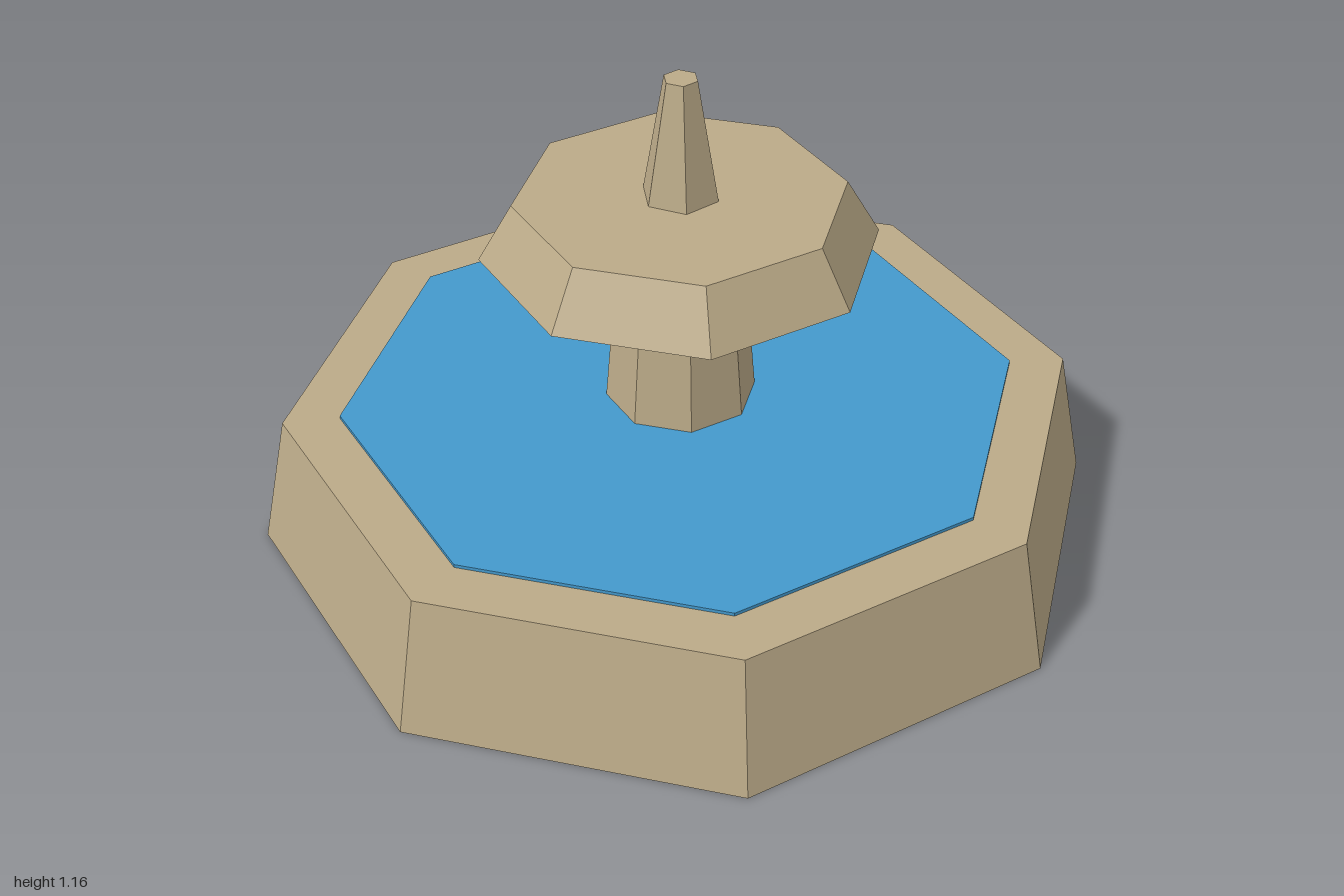
import * as THREE from 'three';

export function createModel() {
  const fountain = new THREE.Group();
  fountain.name = 'fountain';

  const stone = new THREE.MeshStandardMaterial({ name: 'stone', color: 0xbbaa88, flatShading: true });
  const water = new THREE.MeshStandardMaterial({ name: 'water', color: 0x4499cc, flatShading: true });

  // Tapered faceted tier standing between two heights
  function tier(name, bottomRadius, topRadius, y0, y1, sides, material) {
    const geometry = new THREE.CylinderGeometry(topRadius, bottomRadius, y1 - y0, sides);
    geometry.translate(0, (y0 + y1) / 2, 0);
    const mesh = new THREE.Mesh(geometry, material);
    mesh.name = name;
    fountain.add(mesh);
  }

  tier('basin', 1, 0.933, 0, 0.325, 8, stone);
  tier('waterSurface', 0.8, 0.8, 0.315, 0.333, 8, water);
  tier('column', 0.178, 0.143, 0.32, 0.74, 8, stone);
  tier('upperBowl', 0.458, 0.38, 0.733, 0.867, 8, stone);
  tier('spire', 0.092, 0.04, 0.86, 1.157, 6, stone);

  return fountain;
}
